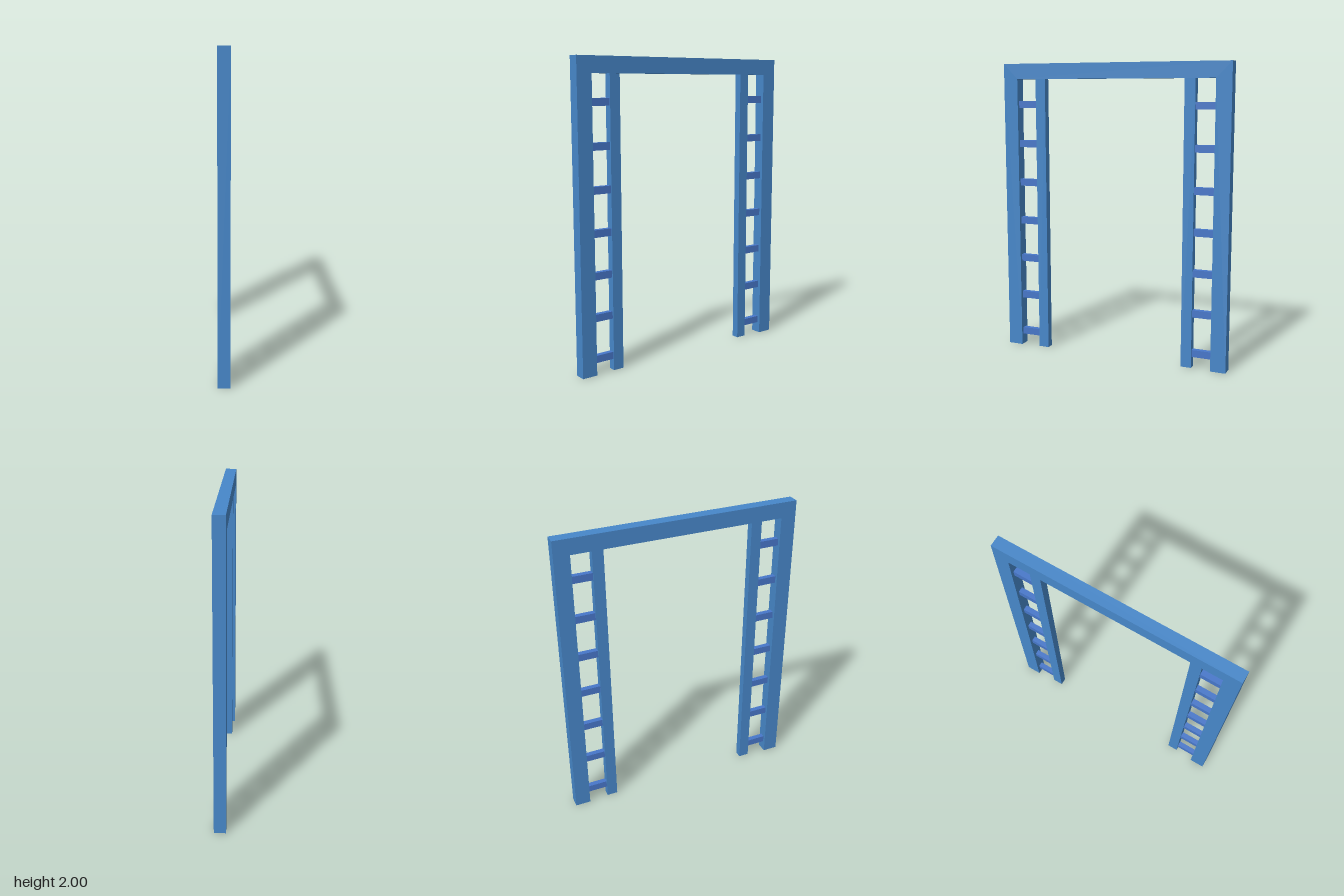
import * as THREE from 'three';

const HALF_SPAN = 0.806;   // outer edge of the frame along z
const FRAME_INNER = 0.703; // inner edge of the frame legs
const BEAM_BOTTOM = 1.896;
const FRAME_DEPTH = 0.076;

export function createModel() {
  const model = new THREE.Group();
  model.name = 'gardenArch';

  const frameBlue = new THREE.MeshStandardMaterial({ color: 0x4787c9 });
  frameBlue.name = 'frame blue';
  const rungBlue = new THREE.MeshStandardMaterial({ color: 0x4777c9 });
  rungBlue.name = 'rung blue';

  const addMesh = (parent, name, geometry, material, y = 0, z = 0) => {
    const mesh = new THREE.Mesh(geometry, material);
    mesh.name = name;
    mesh.position.set(0, y, z);
    parent.add(mesh);
    return mesh;
  };

  // Outer frame: two legs and the top beam in one piece
  const outline = new THREE.Shape([
    [-HALF_SPAN, 0], [-FRAME_INNER, 0], [-FRAME_INNER, BEAM_BOTTOM], [FRAME_INNER, BEAM_BOTTOM],
    [FRAME_INNER, 0], [HALF_SPAN, 0], [HALF_SPAN, 2], [-HALF_SPAN, 2],
  ].map(([x, y]) => new THREE.Vector2(x, y)));
  const frame = new THREE.ExtrudeGeometry(outline, { depth: FRAME_DEPTH, bevelEnabled: false });
  frame.translate(0, 0, -FRAME_DEPTH / 2).rotateY(Math.PI / 2);
  addMesh(model, 'outerFrame', frame, frameBlue);

  // Slim inner post and ladder rungs on each side
  const postInner = 0.496, postOuter = 0.568;
  const post = new THREE.BoxGeometry(0.05, BEAM_BOTTOM, postOuter - postInner);
  const rung = new THREE.BoxGeometry(0.035, 0.048, FRAME_INNER - postOuter);
  for (const side of [1, -1]) {
    const ladder = new THREE.Group();
    ladder.name = side > 0 ? 'frontLadder' : 'backLadder';
    addMesh(ladder, 'innerPost', post, frameBlue, BEAM_BOTTOM / 2, side * (postInner + postOuter) / 2);
    for (let i = 0; i < 7; i++) {
      addMesh(ladder, `rung${i + 1}`, rung, rungBlue, 0.098 + i * 0.271, side * (postOuter + FRAME_INNER) / 2);
    }
    model.add(ladder);
  }

  return model;
}
